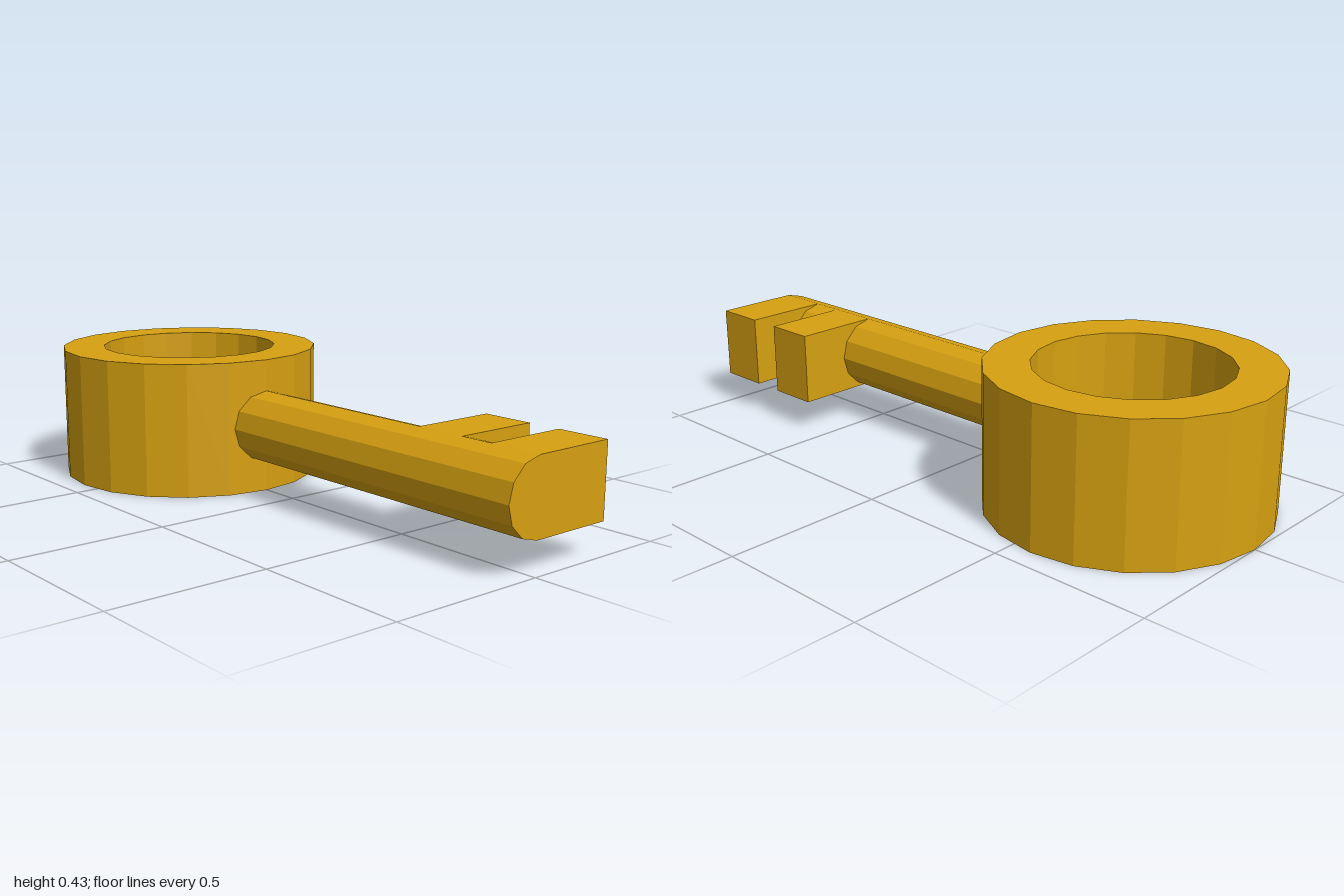
import * as THREE from 'three';

const gold = new THREE.MeshStandardMaterial({ color: 0xd6a010 });
gold.name = 'gold';

const RING_X = -0.567, OUTER = 0.433, INNER = 0.294, HEIGHT = 0.433;
const SHAFT_R = 0.115, SHAFT_Y = HEIGHT / 2, TOOTH_REACH = 0.278;

// Points of a regular polygon's arc, given in steps round the circle
function arc(radius, sides, from = 0, to = sides - 1) {
  const points = [];
  for (let i = from; i <= to; i++) {
    const a = (i / sides) * Math.PI * 2;
    points.push(new THREE.Vector2(Math.cos(a) * radius, Math.sin(a) * radius));
  }
  return points;
}

function extrude(shape, depth) {
  return new THREE.ExtrudeGeometry(shape, { depth, bevelEnabled: false });
}

function addMesh(group, name, geometry) {
  const mesh = new THREE.Mesh(geometry, gold);
  mesh.name = name;
  group.add(mesh);
}

export function createModel() {
  const model = new THREE.Group();
  model.name = 'key';

  // Thick faceted ring for the handle
  const ring = new THREE.Shape(arc(OUTER, 20));
  ring.holes.push(new THREE.Path(arc(INNER, 20)));
  addMesh(model, 'handleRing',
    extrude(ring, HEIGHT).rotateX(-Math.PI / 2).translate(RING_X, 0, 0));

  // Shaft sections: twelve-sided, or square at the back where a tooth sits
  const round = new THREE.Shape(arc(SHAFT_R, 12));
  const toothed = new THREE.Shape([
    ...arc(SHAFT_R, 12, 3, 9),
    new THREE.Vector2(TOOTH_REACH, -SHAFT_R),
    new THREE.Vector2(TOOTH_REACH, SHAFT_R),
  ]);
  const sections = [
    ['shaft', round, -0.2, 0.563],
    ['innerTooth', toothed, 0.563, 0.728],
    ['shaftBetweenTeeth', round, 0.728, 0.833],
    ['endTooth', toothed, 0.833, 1],
  ];
  for (const [name, shape, x0, x1] of sections) {
    addMesh(model, name,
      extrude(shape, x1 - x0).rotateY(Math.PI / 2).translate(x0, SHAFT_Y, 0));
  }

  return model;
}
